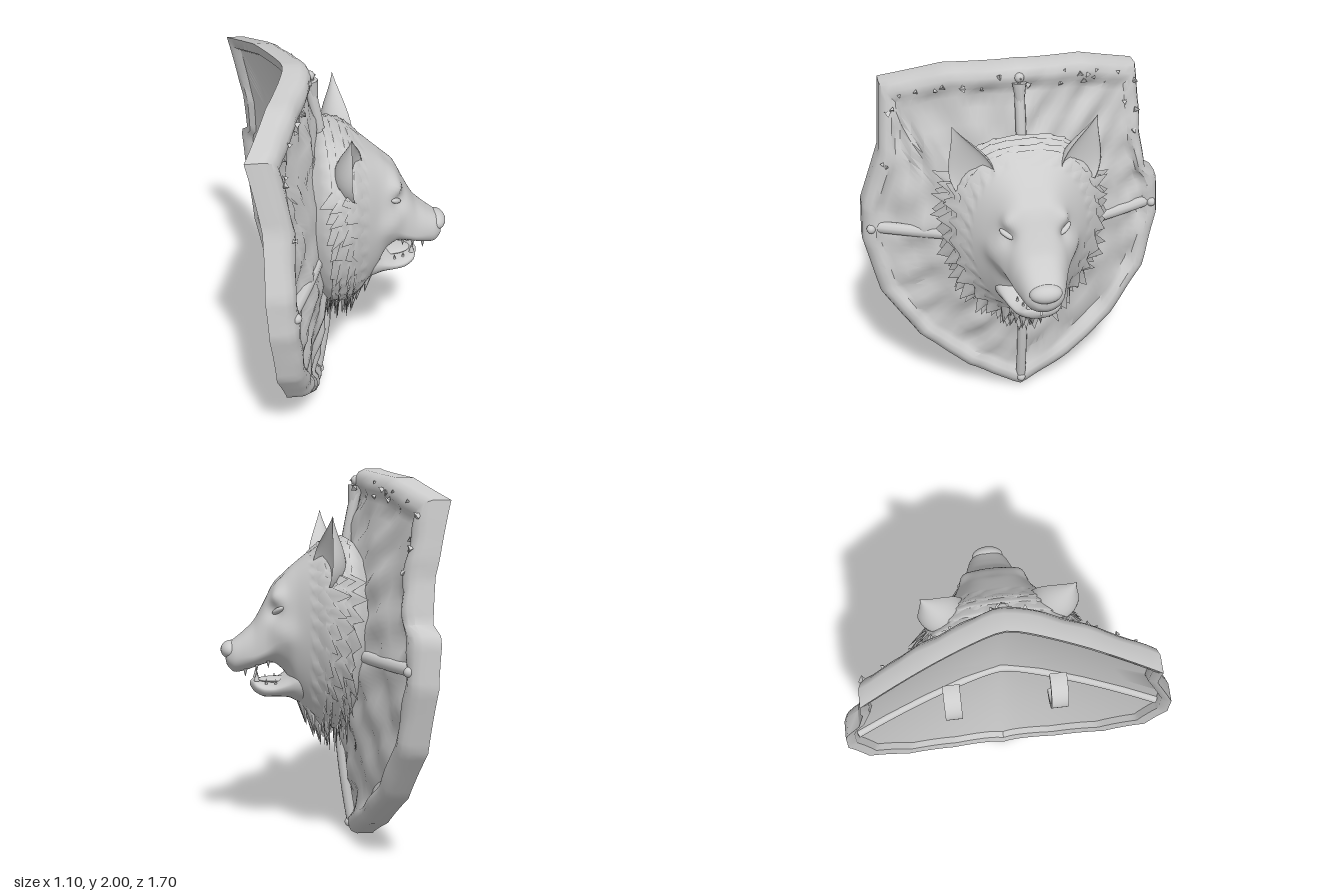
import * as THREE from 'three';
import { toCreasedNormals, mergeGeometries } from 'three/addons/utils/BufferGeometryUtils.js';

const V = (x, y, z) => new THREE.Vector3(x, y, z);
const grey = new THREE.MeshStandardMaterial({ color: 0xcccccc, side: THREE.DoubleSide });
let seed = 7;
const rnd = () => (seed = (seed * 16807) % 2147483647) / 2147483647;

function add(group, name, geo) {
  const mesh = new THREE.Mesh(geo, grey);
  mesh.name = name;
  group.add(mesh);
  return mesh;
}

// Skin a list of closed rings that have equal point counts
function loft(rings) {
  const n = rings[0].length, pos = [], idx = [];
  rings.forEach(r => r.forEach(p => pos.push(p.x, p.y, p.z)));
  for (let i = 0; i < rings.length - 1; i++) for (let j = 0; j < n; j++) {
    const a = i * n + j, b = i * n + (j + 1) % n, c = a + n, d = b + n;
    idx.push(a, c, b, b, c, d);
  }
  const g = new THREE.BufferGeometry();
  g.setAttribute('position', new THREE.Float32BufferAttribute(pos, 3));
  g.setIndex(idx);
  g.computeVertexNormals();
  return g;
}

// Depth of the bowed shield plate, rounded along its middle
const plateX = (z, y) => -0.18 - (y > 1 ? 0.13 : 0.1) * (y - 1) ** 2
  - (0.26 + (y > 1 ? 0.08 : 0.04) * (y - 1)) * (Math.sqrt(z * z + 0.004) - 0.063) - 0.13 * z * z;

// Half of the shield outline (z, y) from the bottom to the top, then mirrored
const half = [
  [0, 0], [0.3, 0.15], [0.57, 0.36], [0.77, 0.64], [0.85, 0.97], [0.84, 1.18], [0.73, 1.5], [0.7, 1.86], [0.37, 1.96], [0, 2],
];
const outline = [...half, ...half.slice(1, -1).reverse().map(([z, y]) => [-z, y])];

function buildShield(group) {
  const edge = [];
  outline.forEach(([z, y], i) => {
    const [z2, y2] = outline[(i + 1) % outline.length];
    for (let k = 0; k < 7; k++) edge.push([z + (z2 - z) * k / 7, y + (y2 - y) * k / 7]);
  });
  // Battle notch cut into one side of the rim
  const notch = (z, y) => (z < 0 && y > 1.26 && y < 1.57 ? 0.05 * (1 - (y - 1.26) / 0.31) : 0);
  // Scale from the centre, height over the plate, dent depth
  const profile = [
    [0, 0.03, 0], [0.25, 0.03, 0], [0.5, 0.03, 0], [0.75, 0.03, 0], [0.93, 0.03, 0], [0.945, 0, 0], [1, 0, 0],
    [1, 0.09, 0.004], [0.985, 0.117, 0.005], [0.95, 0.127, 0.005], [0.915, 0.118, 0.006], [0.885, 0.09, 0.008],
    [0.85, 0.08, 0.014], [0.78, 0.08, 0.018], [0.7, 0.083, 0.018], [0.62, 0.088, 0.018], [0.54, 0.093, 0.018],
    [0.45, 0.1, 0.014], [0.35, 0.105, 0.01], [0.18, 0.11, 0], [0, 0.115, 0],
  ];
  const rings = profile.map(([s, h, dent]) => edge.map(([ez, ey]) => {
    const z = ez * s + notch(ez, ey) * Math.max(0, (s - 0.85) / 0.15), y = 1.03 + (ey - 1.03) * s;
    const d = dent * (Math.sin(z * 17 + y * 8) * Math.sin(y * 19 - z * 6) + 0.6 * Math.sin(z * 31 + y * 27));
    return V(plateX(z, y) + h + d, y, z);
  }));
  add(group, 'shieldPlate', toCreasedNormals(loft(rings), 0.8));

  // Raised bars on the face, and the grip bar behind
  const bar = (name, from, to, lift, r) => {
    const pts = [];
    for (let i = 0; i <= 24; i++) {
      const z = from[0] + (to[0] - from[0]) * i / 24, y = from[1] + (to[1] - from[1]) * i / 24;
      pts.push(V(plateX(z, y) + lift, y, z));
    }
    add(group, name, new THREE.TubeGeometry(new THREE.CatmullRomCurve3(pts), 48, r, 10));
  };
  bar('crossBar', [-0.79, 1.05], [0.79, 1.05], 0.08, 0.034);
  bar('uprightBar', [0, 0.08], [0, 1.9], 0.105, 0.028);
  bar('gripBar', [-0.79, 1.05], [0.79, 1.05], 0.025, 0.025);
  const wedge = add(group, 'topWedge', new THREE.ConeGeometry(0.038, 0.27, 8));
  wedge.rotation.z = Math.PI + 0.12;
  wedge.position.set(plateX(0, 1.78) + 0.105, 1.78, 0);

  // Flat arm straps
  const band = new THREE.Shape().absarc(0, 0, 0.14, -Math.PI / 2, Math.PI / 2, false);
  band.absarc(0, 0, 0.115, Math.PI / 2, -Math.PI / 2, true);
  for (const s of [1, -1]) {
    const g = new THREE.ExtrudeGeometry(band, { depth: 0.09, bevelEnabled: false, curveSegments: 12 });
    const strap = add(group, 'armStrap', toCreasedNormals(g.translate(0, 0, -0.045).rotateY(Math.PI), 0.6));
    strap.position.set(-0.27, 1.05, s * 0.28);
  }
  // Bar end studs
  for (const [z, y] of [[0.8, 1.05], [-0.8, 1.05], [0, 0.07], [0, 1.94]]) {
    add(group, 'stud', new THREE.SphereGeometry(0.026, 12, 8)).position.set(plateX(z, y) + 0.12, y, z);
  }
  // Splinters around the rim
  const chips = [];
  for (let i = 0; i < 30; i++) {
    const [z, y] = edge[Math.floor((0.33 + rnd() * 0.34) * edge.length)], s = 0.87 + rnd() * 0.1;
    const g = new THREE.TetrahedronGeometry(0.012 + rnd() * 0.014);
    g.rotateX(rnd() * 6).rotateY(rnd() * 6);
    const cy = 1.03 + (y - 1.03) * s;
    chips.push(g.translate(plateX(z * s, cy) + (s > 0.9 ? 0.13 : 0.1), cy, z * s));
  }
  add(group, 'splinters', mergeGeometries(chips));
}

// Cross-sections along x: [x, top, bottom, half width, height of widest point]
const skull = [
  [-0.2, 1.56, 0.74, 0.35, 1.22], [-0.15, 1.62, 0.67, 0.4, 1.22], [-0.1, 1.64, 0.62, 0.42, 1.22],
  [0, 1.62, 0.62, 0.385, 1.2], [0.08, 1.56, 0.68, 0.315, 1.17], [0.15, 1.505, 0.78, 0.25, 1.14],
  [0.2, 1.465, 0.91, 0.215, 1.12], [0.26, 1.41, 0.97, 0.188, 1.1], [0.31, 1.31, 0.97, 0.162, 1.06],
  [0.37, 1.2, 0.95, 0.14, 1.03], [0.43, 1.14, 0.93, 0.12, 1.02], [0.48, 1.1, 0.925, 0.1, 1.01],
  [0.515, 1.075, 0.96, 0.065, 1.01], [0.525, 1.03, 1, 0.005, 1.015],
];
const jaw = [
  [0.06, 1.0, 0.72, 0.2, 0.9], [0.14, 0.98, 0.76, 0.195, 0.89], [0.19, 0.92, 0.785, 0.175, 0.87],
  [0.26, 0.875, 0.79, 0.145, 0.845], [0.32, 0.87, 0.79, 0.12, 0.84], [0.37, 0.885, 0.815, 0.085, 0.855],
  [0.395, 0.87, 0.85, 0.005, 0.86],
];

function sectionSurface(sections) {
  const a = new THREE.CatmullRomCurve3(sections.map(s => V(s[0], s[1], s[2])), false, 'catmullrom', 0.4);
  const b = new THREE.CatmullRomCurve3(sections.map(s => V(s[3], s[4], 0)), false, 'catmullrom', 0.4);
  return (t, ang) => {
    const p = a.getPoint(t), q = b.getPoint(t), c = Math.cos(ang), s = Math.sin(ang);
    const z = q.x * Math.sign(c) * Math.abs(c) ** (s > 0 ? 0.72 : 1.05);
    return V(p.x, q.y + s * (s > 0 ? p.y - q.y : q.y - p.z), z);
  };
}
const ringsOf = (surf, rows, cols) => Array.from({ length: rows + 1 }, (_, i) =>
  Array.from({ length: cols }, (_, j) => surf(i / rows, j / cols * Math.PI * 2)));

// Jagged collar of fur: a band lying on the head whose rear edge breaks into points
function collar(surf, t, tufts, size) {
  const n = tufts * 2, rear = [], mid = [], front = [];
  for (let j = 0; j < n; j++) {
    const a = (j + (rnd() - 0.5) * 0.7) / n * Math.PI * 2, s = Math.sin(a), c = Math.cos(a), low = Math.max(0, -s);
    const out = V(0, s, c);
    const dir = V(-0.75 + 0.75 * low, s * 0.75 - 0.3 + (rnd() - 0.5) * 0.3, c * 0.9).normalize();
    const len = size * (s > 0.6 ? 0.2 : 1) * (0.6 + rnd() * 0.8 + low ** 6 * 0.3);
    const base = surf(t, a);
    front.push(surf(t + 0.03, a).addScaledVector(out, -0.004));
    mid.push(base.clone().addScaledVector(out, 0.01));
    rear.push(j % 2 ? base.clone().addScaledVector(dir, len) : base.clone().add(V(-0.01, 0, 0)));
  }
  return loft([rear, mid, front]);
}

function buildHead(group) {
  const surf = sectionSurface(skull);
  const rings = ringsOf(surf, 80, 80);
  // Sculpt eye sockets, brows, cheekbones and shaggy rear fur
  const bump = (p, x, y, z, r) => Math.exp(-((p.x - x) ** 2 + (p.y - y) ** 2 + (Math.abs(p.z) - z) ** 2) / (r * r));
  rings.forEach(r => r.forEach((p, j) => {
    const push = -0.026 * bump(p, 0.27, 1.265, 0.155, 0.05) + 0.022 * bump(p, 0.25, 1.335, 0.14, 0.05)
      + 0.02 * bump(p, 0.2, 1.15, 0.21, 0.07) - 0.015 * bump(p, 0.24, 1.43, 0, 0.06)
      + (p.x < 0.08 ? 0.005 * Math.sin(j * 2.1 + p.x * 30) : 0);
    p.add(V(push * 0.7, (p.y - 1.15) * push, Math.sign(p.z) * push * 0.8));
    p.x = Math.max(p.x, plateX(p.z, p.y) + 0.06);
  }));
  add(group, 'skull', loft(rings));
  add(group, 'lowerJaw', loft(ringsOf(sectionSurface(jaw), 24, 32)));

  const nose = add(group, 'nose', new THREE.SphereGeometry(1, 24, 16));
  nose.scale.set(0.055, 0.05, 0.085);
  nose.position.set(0.495, 1.045, 0);
  const tongue = add(group, 'tongue', new THREE.SphereGeometry(1, 16, 10));
  tongue.scale.set(0.11, 0.015, 0.07);
  tongue.position.set(0.25, 0.88, 0);

  for (const s of [1, -1]) {
    // Narrow slanted eye
    const eye = add(group, 'eye', new THREE.SphereGeometry(1, 16, 12));
    eye.scale.set(0.02, 0.015, 0.046);
    eye.position.set(0.249, 1.27, s * 0.152);
    eye.rotation.set(-s * 0.45, -s * 0.65, 0, 'YXZ');

    // Ear: cone with convex sides and its front pushed in to a hollow
    const g = new THREE.ConeGeometry(0.115, 0.34, 32, 12, true);
    const p = g.attributes.position;
    for (let i = 0; i < p.count; i++) {
      const x = p.getX(i), swell = 1 + 0.5 * Math.sin((p.getY(i) + 0.17) / 0.34 * Math.PI);
      p.setXYZ(i, (x > 0 ? -0.25 * x : x) * swell, p.getY(i), p.getZ(i) * swell);
    }
    g.computeVertexNormals();
    const ear = add(group, 'ear', g);
    ear.position.set(0.01, 1.612, s * 0.325);
    ear.rotation.set(s * 0.38, -s * 0.3, 0.16);

    // Fangs and side teeth: [x, y, z, length, up]
    for (const [x, y, z, len, up] of [[0.42, 0.948, 0.06, 0.055, -1], [0.36, 0.972, 0.09, 0.045, -1],
      [0.3, 0.99, 0.11, 0.04, -1], [0.36, 0.893, 0.06, 0.06, 1], [0.31, 0.873, 0.08, 0.03, 1], [0.26, 0.875, 0.1, 0.03, 1]]) {
      const tooth = add(group, 'tooth', new THREE.ConeGeometry(len * 0.25, len, 8));
      tooth.position.set(x, y + up * len * 0.3, s * z);
      tooth.rotation.x = up > 0 ? 0 : Math.PI;
    }
  }

  // Overlapping fur collars, longest under the chin
  const fur = [[0.15, 30, 0.09], [0.185, 33, 0.1], [0.22, 31, 0.1], [0.25, 28, 0.08]];
  add(group, 'furRuff', mergeGeometries(fur.map(([t, n, size]) => collar(surf, t, n, size))));
  // Broad beard locks below the jaw, the longest in the middle
  const locks = [];
  [0.24, 0.28, 0.32, 0.36].forEach((t, row) => {
    for (let i = -1; i <= 1; i++) {
      const a = -Math.PI / 2 + (i + (row % 2) * 0.5 - 0.25) * 0.3, p = surf(t, a);
      const len = 0.2 + rnd() * 0.05 - Math.abs(i) * 0.03;
      const g = new THREE.ConeGeometry(0.06, len, 7).scale(0.7, 1, 1).rotateX(Math.PI);
      locks.push(g.rotateX(-Math.cos(a) * 0.4).rotateZ(-0.15).translate(p.x - 0.02, p.y - 0.02, p.z));
    }
  });
  add(group, 'beard', mergeGeometries(locks));
}

export function createModel() {
  seed = 7;
  const model = new THREE.Group();
  const shield = new THREE.Group(), head = new THREE.Group();
  shield.name = 'shield';
  head.name = 'wolfHead';
  buildShield(shield);
  buildHead(head);
  model.add(shield, head);
  return model;
}
